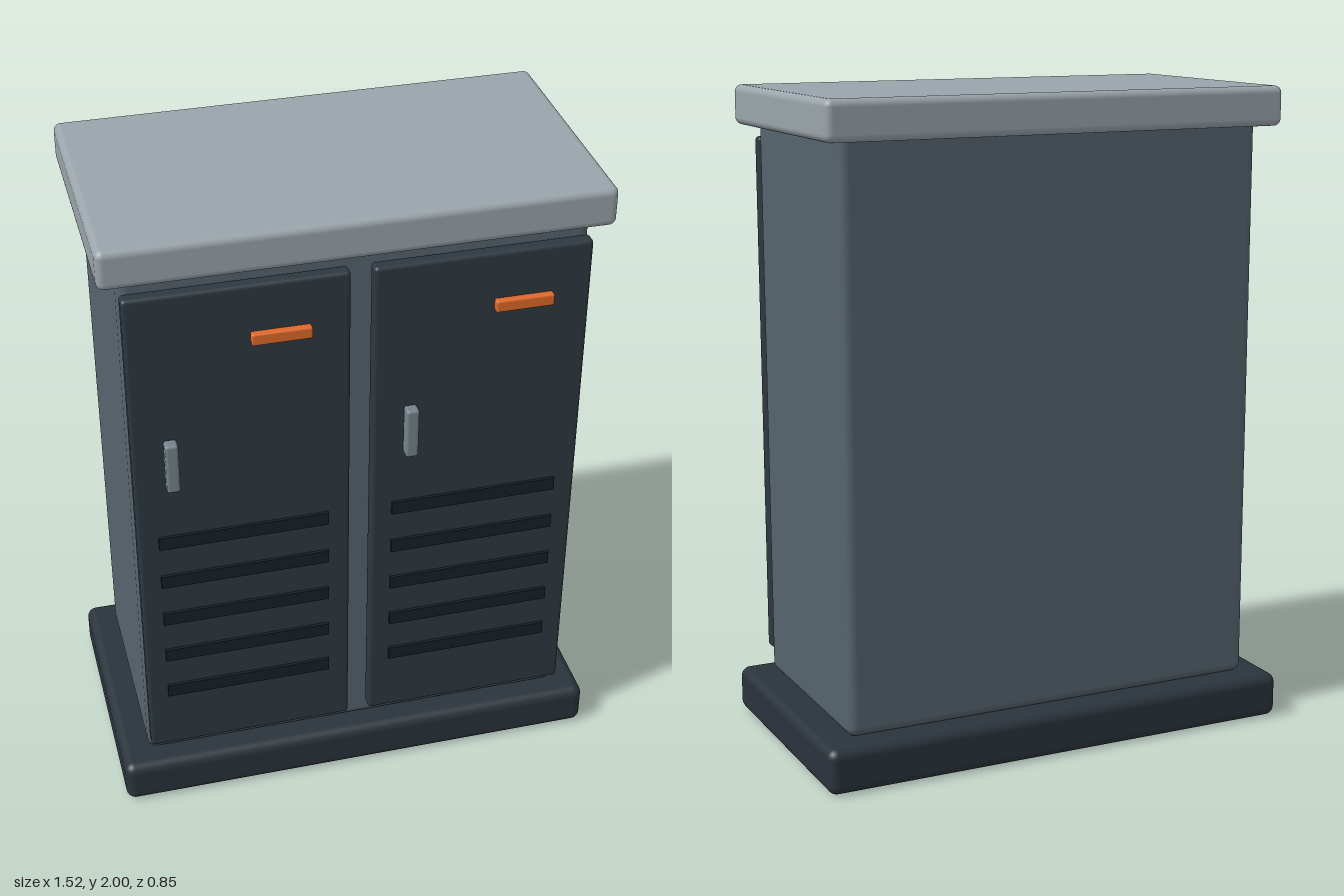
import * as THREE from 'three';
import { RoundedBoxGeometry } from 'three/addons/geometries/RoundedBoxGeometry.js';

const paint = (color) => new THREE.MeshStandardMaterial({ color });

export function createModel() {
  const model = new THREE.Group();
  model.name = 'utilityCabinet';

  const mats = {
    base: paint(0x2a333b),
    body: paint(0x56646d),
    roof: paint(0x9aa4aa),
    door: paint(0x2e3840),
    vent: paint(0x182026),
    handle: paint(0x76838b),
    label: paint(0xe0692a),
  };

  // Box from its size and centre; a radius of 0 leaves the edges sharp
  function box(parent, name, mat, [w, h, d], [x, y, z], radius = 0) {
    const geometry = radius
      ? new RoundedBoxGeometry(w, h, d, 4, radius)
      : new THREE.BoxGeometry(w, h, d);
    const mesh = new THREE.Mesh(geometry, mat);
    mesh.name = name;
    mesh.position.set(x, y, z);
    parent.add(mesh);
    return mesh;
  }

  // Plinth, cabinet shell and overhanging roof
  box(model, 'base', mats.base, [1.525, 0.14, 0.825], [0, 0.07, -0.01], 0.03);
  box(model, 'body', mats.body, [1.35, 1.77, 0.683], [0, 1.025, -0.009], 0.03);
  box(model, 'roof', mats.roof, [1.465, 0.12, 0.793], [0, 1.94, -0.01], 0.022);

  // Both doors are the same, with the handle on the viewer's left
  function addDoor(name, x) {
    const door = new THREE.Group();
    door.name = name;
    door.position.x = x;
    model.add(door);

    box(door, 'doorPanel', mats.door, [0.638, 1.637, 0.045], [0, 1.023, 0.359], 0.012);
    box(door, 'handle', mats.handle, [0.038, 0.162, 0.04], [-0.209, 1.295, 0.404], 0.008);
    box(door, 'labelPlate', mats.label, [0.173, 0.037, 0.025], [0.118, 1.678, 0.393], 0.006);

    // Row of louvre slats
    for (let i = 0; i < 5; i++) {
      box(door, 'ventSlat', mats.vent, [0.51, 0.043, 0.016], [-0.002, 0.433 + i * 0.144, 0.383]);
    }
  }
  addDoor('rightDoor', -0.353);
  addDoor('leftDoor', 0.351);

  return model;
}
